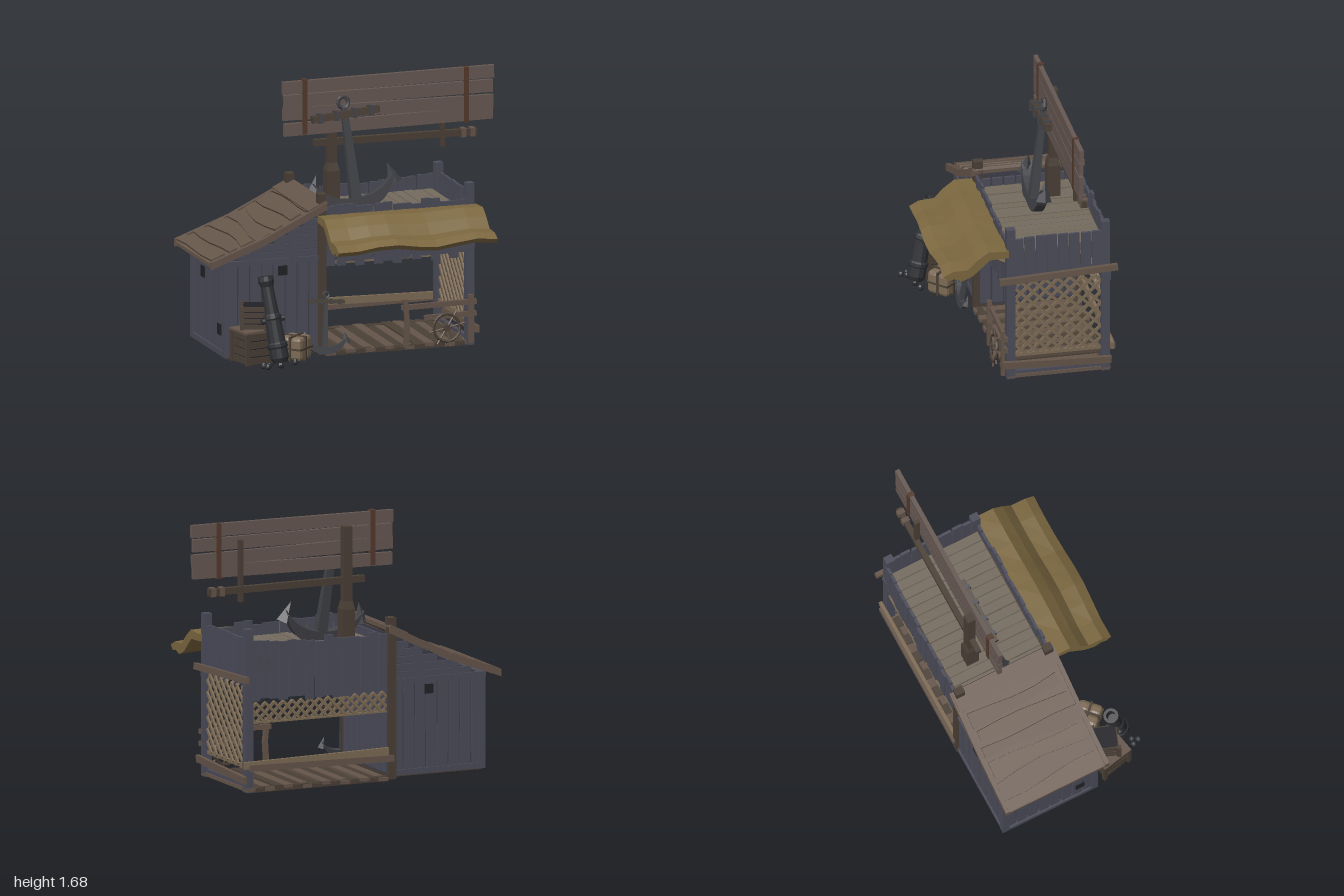
import * as THREE from 'three';
import { RoundedBoxGeometry } from 'three/addons/geometries/RoundedBoxGeometry.js';

const mat = (color) => new THREE.MeshStandardMaterial({ color, flatShading: true, side: THREE.DoubleSide });
const M = {
  slate: mat(0x4b4c59), slateDark: mat(0x3d3e49), brown: mat(0x65554a), dark: mat(0x4a4036),
  roof: mat(0x66564a), deck: mat(0x746b5e), tan: mat(0x7d6b55), cloth: mat(0x7c6840),
  sign: mat(0x665852), strap: mat(0x533a2c), iron: mat(0x424348), cannon: mat(0x2f3034), hole: mat(0x222126),
};
let seed = 7;
const rnd = (a = 1) => { seed = (seed * 16807) % 2147483647; return (seed / 2147483647 - 0.5) * 2 * a; };
const V = (x, y, z) => new THREE.Vector3(x, y, z);

function add(parent, name, geo, m, x = 0, y = 0, z = 0, rx = 0, ry = 0, rz = 0) {
  const mesh = new THREE.Mesh(geo, m);
  mesh.name = name;
  mesh.position.set(x, y, z);
  mesh.rotation.set(rx, ry, rz);
  parent.add(mesh);
  return mesh;
}
function group(parent, name, x = 0, y = 0, z = 0, rx = 0, ry = 0, rz = 0) {
  const g = new THREE.Group();
  g.name = name;
  g.position.set(x, y, z);
  g.rotation.set(rx, ry, rz);
  parent.add(g);
  return g;
}
const box = (p, name, m, w, h, d, ...pose) => add(p, name, new THREE.BoxGeometry(w, h, d), m, ...pose);
// Box given by its limits
const span = (p, name, m, x0, x1, y0, y1, z0, z1) =>
  box(p, name, m, x1 - x0, y1 - y0, z1 - z0, (x0 + x1) / 2, (y0 + y1) / 2, (z0 + z1) / 2);
// Straight timber between two points
function beam(p, name, m, a, b, h, d) {
  const dir = b.clone().sub(a), mid = a.clone().add(b).multiplyScalar(0.5);
  const mesh = box(p, name, m, dir.length(), h, d, mid.x, mid.y, mid.z);
  mesh.quaternion.setFromUnitVectors(V(1, 0, 0), dir.normalize());
  return mesh;
}
function extrude(pts, depth, steps = 1) {
  const shape = new THREE.Shape(pts.map(([x, y]) => new THREE.Vector2(x, y)));
  return new THREE.ExtrudeGeometry(shape, { depth, steps, bevelEnabled: false });
}
// Crossed slats clipped to a rectangle
function lattice(p, u0, u1, v0, v1, step) {
  const H = v1 - v0;
  for (const flip of [0, 1]) for (let s = u0 - H + step / 2; s < u1; s += step) {
    const a = Math.max(u0, s), b = Math.min(u1, s + H);
    if (b - a < 0.015) continue;
    const f = (u) => V(flip ? u0 + u1 - u : u, v0 + u - s, flip * 0.012);
    beam(p, 'latticeSlat', M.tan, f(a), f(b), 0.018, 0.011);
  }
}
const roofY = (x) => x < -0.65 ? 0.65 + (x + 1) * 0.37 : 0.78 + (x + 0.65) * 0.49;

function buildShed(root) {
  const g = group(root, 'shed');
  add(g, 'shedBody', extrude([[-0.88, 0.04], [-0.25, 0.04], [-0.25, 0.94], [-0.65, 0.74], [-0.88, 0.64]], 0.61), M.slateDark, 0, 0, -0.495);
  span(g, 'shedFloor', M.dark, -0.89, -0.25, 0.03, 0.045, -0.5, 0.125);
  for (const [z, s] of [[0.12, 1], [-0.5, -1]]) {
    const n = 8, w = 0.62 / n;
    for (let i = 0; i < n; i++)
      box(g, 'wallPlank', M.slate, w - 0.012, 0.56, 0.018 + rnd(0.005), -0.89 + w * (i + 0.5), 0.34, z + s * 0.002, 0, 0, rnd(0.008));
    for (let y = 0.67, i = 0; y < 0.88; y += 0.048, i++) {
      const x0 = Math.max(-0.9, y < 0.76 ? -1 + (y - 0.6) / 0.37 : -0.65 + (y - 0.73) / 0.49);
      span(g, 'gablePlank', M.slate, x0, -0.25, y - 0.021, y + 0.021, z - 0.01, z + 0.008 + rnd(0.004));
    }
    for (const x of [-0.7, -0.45]) span(g, 'gablePost', M.slate, x - 0.025, x + 0.025, 0.64, roofY(x) - 0.03, z - 0.015, z + 0.02);
    span(g, 'wallBeam', M.slate, -0.91, -0.25, 0.615, 0.65, z - 0.02, z + 0.022);
    span(g, 'wallSill', M.slate, -0.9, -0.25, 0.04, 0.075, z - 0.02, z + 0.018);
    span(g, 'cornerPost', M.slate, -0.905, -0.865, 0.04, 0.64, z - 0.022, z + 0.022);
    box(g, 'smallOpening', M.hole, 0.06, 0.06, 0.03, -0.52, 0.57, z);
    // Tall brown posts where the shed meets the stall
    span(g, 'tallPost', M.dark, -0.29, -0.24, 0.02, 1.04, z - 0.025, z + 0.035);
  }
  for (let i = 0; i < 8; i++) {
    const z = -0.46 + i * 0.0775;
    for (const x of [-0.885, -0.245])
      box(g, 'sidePlank', M.slate, 0.02 + rnd(0.005), x < -0.5 ? 0.58 : 0.86, 0.066, x, x < -0.5 ? 0.34 : 0.49, z, rnd(0.008));
  }
  span(g, 'sideBeam', M.slate, -0.91, -0.87, 0.61, 0.645, -0.51, 0.13);
  span(g, 'sideSill', M.slate, -0.905, -0.87, 0.04, 0.075, -0.51, 0.13);
  for (const [y, z] of [[0.5, -0.3], [0.2, 0.02]]) box(g, 'smallOpening', M.hole, 0.03, 0.07, 0.06, -0.887, y, z);

  // Sagging lean-to roof with uneven boards
  const r = group(root, 'leanToRoof');
  const prof = (t, b) => [[-1, 0.65 + t], [-0.65, 0.78 + t], [-0.24, 0.98 + t], [-0.24, 0.98 + b], [-0.65, 0.78 + b], [-1, 0.65 + b]];
  add(r, 'roofSlab', extrude(prof(0, -0.022), 0.68), M.roof, 0, 0, -0.53);
  for (const z of [0.145, -0.55]) add(r, 'roofEdgeBoard', extrude(prof(0.012, -0.035), 0.028), M.brown, 0, 0, z);
  for (let i = 0; i < 7; i++) {
    const x = -0.95 + i * 0.104, slope = x < -0.65 ? 0.355 : 0.455;
    const geo = new THREE.BoxGeometry(0.09, 0.018, 0.64 + rnd(0.03), 1, 1, 4), p = geo.attributes.position;
    for (let k = 0; k < p.count; k++) p.setX(k, p.getX(k) * (0.9 + 0.3 * Math.sin(p.getZ(k) * 8 + i * 2)) + 0.012 * Math.sin(p.getZ(k) * 5 + i));
    geo.computeVertexNormals();
    add(r, 'roofBoard', geo, i % 2 ? M.brown : M.roof, x, roofY(x) + 0.006, -0.195 + rnd(0.015), 0, 0, slope + 0.03);
  }
  beam(r, 'ridgeBoard', M.brown, V(-0.36, roofY(-0.36) + 0.012, -0.19), V(-0.24, 0.992, -0.19), 0.02, 0.7);
}

function buildStall(root) {
  const g = group(root, 'stall');
  for (let i = 0; i < 15; i++) {
    const x = -0.21 + i * 0.065;
    box(g, 'floorBoard', i % 2 ? M.dark : M.brown, 0.06, 0.022, 0.66 + rnd(0.02), x, 0.026 + rnd(0.007), -0.18, 0, 0, rnd(0.03));
    if (i < 14) box(g, 'deckBoard', M.deck, 0.06, 0.02, 0.6, x, 0.86 + rnd(0.004), -0.18, 0, 0, rnd(0.02));
  }
  for (const z of [0.12, -0.48]) {
    beam(g, 'floorBeam', M.dark, V(-0.24, 0.022, z), V(0.72, 0.022, z), 0.03, 0.04);
    span(g, 'deckBeam', M.dark, -0.24, 0.7, 0.8, 0.845, z - 0.02, z + 0.02);
    span(g, 'stallPost', M.slate, 0.68, 0.73, 0.01, 1.04, z - 0.025, z + 0.03);
    box(g, 'postCap', M.slate, 0.06, 0.05, 0.062, 0.702, 0.66, z);
  }
  // Ragged plank skirts around the upper deck
  for (const z of [0.14, -0.505]) for (let i = 0; i < 15; i++) {
    const y0 = 0.585 + rnd(0.02), y1 = 0.95 + rnd(0.018);
    box(g, 'skirtPlank', M.slate, 0.056, y1 - y0, 0.018, -0.205 + i * 0.062, (y0 + y1) / 2, z + rnd(0.006), 0, 0, rnd(0.015));
  }
  for (let i = 0; i < 8; i++)
    box(g, 'sideSkirtPlank', M.slate, 0.018, 0.27 + rnd(0.015), 0.064, 0.715 + rnd(0.004), 0.84, 0.072 - i * 0.071, rnd(0.03));
  // Right end: beams and lattice
  beam(g, 'sideBeam', M.brown, V(0.745, 0.695, 0.2), V(0.745, 0.73, -0.55), 0.04, 0.03);
  beam(g, 'sideLowRail', M.brown, V(0.74, 0.115, 0.18), V(0.74, 0.09, -0.51), 0.045, 0.025);
  span(g, 'sideSill', M.slate, 0.69, 0.72, 0.02, 0.06, -0.48, 0.12);
  lattice(group(g, 'sideLattice', 0.705, 0, 0, 0, Math.PI / 2), -0.09, 0.45, 0.17, 0.67, 0.078);
  span(g, 'latticeFrame', M.tan, 0.695, 0.715, 0.155, 0.175, -0.46, 0.1);
  // Back: lattice strip and rails
  lattice(group(g, 'backLattice', 0, 0, -0.49), -0.24, 0.68, 0.45, 0.57, 0.062);
  span(g, 'latticeFrame', M.tan, -0.24, 0.68, 0.44, 0.452, -0.495, -0.475);
  beam(g, 'backRail', M.tan, V(-0.24, 0.2, -0.515), V(0.75, 0.185, -0.515), 0.045, 0.022);
  beam(g, 'backLowRail', M.brown, V(-0.27, 0.155, -0.53), V(0.72, 0.17, -0.53), 0.04, 0.02);
  // Front railing
  for (const y of [0.28, 0.205]) beam(g, 'frontRail', M.brown, V(y > 0.25 ? 0.25 : 0.4, y, 0.155), V(0.74, y + 0.008, 0.155), 0.032, 0.022);
  beam(g, 'railPost', M.brown, V(0.275, 0.03, 0.165), V(0.285, 0.19, 0.165), 0.03, 0.03);
  beam(g, 'railPost', M.brown, V(0.285, 0.18, 0.165), V(0.27, 0.335, 0.165), 0.028, 0.03);
  beam(g, 'railPost', M.brown, V(0.7, 0.03, 0.17), V(0.7, 0.335, 0.17), 0.03, 0.025);

  // Ship's wheel leaning on the railing
  const w = group(root, 'steeringWheel', 0.535, 0.14, 0.19, -0.1);
  add(w, 'wheelRim', new THREE.TorusGeometry(0.085, 0.01, 5, 16), M.dark);
  add(w, 'wheelHub', new THREE.CylinderGeometry(0.024, 0.024, 0.03, 8), M.dark, 0, 0, 0, Math.PI / 2);
  for (let i = 0; i < 4; i++) add(w, 'wheelSpokes', new THREE.CylinderGeometry(0.006, 0.006, 0.24, 6), M.brown, 0, 0, 0, 0, 0, i * Math.PI / 4 + 0.2);

  // Billowing cloth awning
  const geo = extrude([[0.14, 0.905], [0.27, 0.91], [0.34, 0.86], [0.4, 0.8], [0.5, 0.795], [0.56, 0.765], [0.53, 0.735],
    [0.49, 0.745], [0.44, 0.725], [0.37, 0.755], [0.26, 0.855], [0.14, 0.86]], 1.04, 8);
  geo.rotateY(-Math.PI / 2).translate(0.745, 0, 0);
  const p = geo.attributes.position;
  for (let k = 0; k < p.count; k++) {
    const x = p.getX(k), out = (p.getZ(k) - 0.14) / 0.42;
    p.setY(k, p.getY(k) + 0.016 * Math.sin(x * 11 + 1) * out);
    p.setZ(k, p.getZ(k) + 0.008 * Math.sin(x * 8) * out);
  }
  geo.computeVertexNormals();
  add(root, 'awning', geo, M.cloth);
  for (const x of [-0.2, 0.65]) beam(root, 'awningBrace', M.tan, V(x, 0.79, 0.14), V(x, 0.86, 0.27), 0.022, 0.022);
}

function buildSign(root) {
  const g = group(root, 'signBoard');
  for (let i = 0; i < 4; i++)
    box(g, 'signPlank', M.sign, 1.375 + rnd(0.012), 0.08, 0.028, 0.305, 1.374 + i * 0.088, -0.268, 0, 0, [0.012, -0.008, 0.004, 0.008][i]);
  for (const x of [-0.245, 0.815]) box(g, 'signStrap', M.strap, 0.032, 0.35, 0.042, x, 1.508, -0.268);
  span(g, 'signPole', M.dark, -0.08, -0.022, 0.8, 1.6, -0.335, -0.283);
  span(g, 'poleFoot', M.dark, -0.092, -0.01, 0.78, 1.08, -0.347, -0.265);
  add(g, 'poleCollar', new THREE.CylinderGeometry(0.041, 0.058, 0.05, 4), M.dark, -0.051, 1.105, -0.307, 0, Math.PI / 4);
  beam(g, 'crossBeam', M.dark, V(-0.17, 1.262, -0.308), V(0.9, 1.258, -0.308), 0.042, 0.035);
  span(g, 'signHanger', M.dark, 0.66, 0.685, 1.18, 1.57, -0.318, -0.284);
  for (const x of [0.81, 0.87]) box(g, 'beamBand', M.brown, 0.03, 0.056, 0.05, x, 1.258, -0.308);
}

// Anchor of unit height with its crown at the origin
function anchor(root, name, scale, ...pose) {
  const g = group(root, name, ...pose);
  g.scale.setScalar(scale);
  const shank = add(g, 'anchorShank', new THREE.CylinderGeometry(0.04, 0.075, 0.92, 4).rotateY(Math.PI / 4), M.iron, 0, 0.46, 0);
  shank.scale.z = 0.8;
  add(g, 'anchorRing', new THREE.TorusGeometry(0.05, 0.02, 5, 10), M.iron, 0, 0.97, 0);
  box(g, 'anchorStock', M.dark, 0.66, 0.065, 0.07, 0, 0.86, 0.02);
  for (const x of [-0.25, -0.09, 0.09, 0.25]) box(g, 'stockBand', M.iron, 0.035, 0.09, 0.095, x, 0.86, 0.02);
  const s = new THREE.Shape();
  s.moveTo(-0.4, 0.27).quadraticCurveTo(-0.33, -0.05, 0, -0.06).quadraticCurveTo(0.33, -0.05, 0.4, 0.27);
  s.quadraticCurveTo(0.25, 0.06, 0, 0.07).quadraticCurveTo(-0.25, 0.06, -0.4, 0.27);
  add(g, 'anchorArms', new THREE.ExtrudeGeometry(s, { depth: 0.09, bevelEnabled: false, curveSegments: 6 }), M.iron, 0, 0, -0.045);
  for (const k of [-1, 1]) add(g, 'anchorFluke', new THREE.ConeGeometry(0.075, 0.2, 4), M.iron, k * 0.375, 0.25, 0, 0, 0, k * 0.25);
}

function buildCargo(root) {
  // Cannon barrel standing on its breech
  const prof = [[0, 0], [0.045, 0.0], [0.06, 0.03], [0.06, 0.09], [0.066, 0.1], [0.066, 0.12], [0.056, 0.13], [0.053, 0.27],
    [0.058, 0.28], [0.055, 0.3], [0.046, 0.31], [0.04, 0.48], [0.052, 0.515], [0.048, 0.545], [0.03, 0.545], [0.028, 0.45], [0, 0.45]];
  const c = group(root, 'cannon', -0.64, 0.06, 0.44, -0.19, 0, 0.12);
  add(c, 'cannonBarrel', new THREE.LatheGeometry(prof.map(([r, y]) => new THREE.Vector2(r, y)), 12), M.cannon);
  add(c, 'cannonKnob', new THREE.SphereGeometry(0.025, 8, 6), M.cannon, 0, -0.015, 0);
  add(c, 'cannonTrunnion', new THREE.CylinderGeometry(0.018, 0.018, 0.15, 8), M.cannon, 0, 0.27, 0, 0, 0, Math.PI / 2);
  for (const [x, y, z] of [[-0.76, 0.055, 0.47], [-0.725, 0.055, 0.475], [-0.745, 0.055, 0.51], [-0.54, 0.055, 0.43]])
    add(root, 'cannonball', new THREE.SphereGeometry(0.021, 8, 6), M.cannon, x, y, z);
  // Slatted crates
  for (const [w, h, y, ry, x, z] of [[0.19, 0.2, 0.04, 0.2, -0.765, 0.28], [0.15, 0.15, 0.255, -0.35, -0.755, 0.275]]) {
    const g = group(root, 'crate', x, y, z, 0, ry);
    box(g, 'crateCore', M.hole, w * 0.92, h * 0.96, w * 0.92, 0, h / 2, 0);
    for (let i = 0; i < 4; i++) box(g, 'crateSlat', M.dark, w, h / 4 - 0.008, w, 0, h * (i + 0.5) / 4, 0, 0, rnd(0.04));
    for (const a of [-1, 1]) for (const b of [-1, 1]) box(g, 'crateCorner', M.dark, 0.025, h, 0.025, a * w / 2, h / 2, b * w / 2);
  }
  box(root, 'crateLid', M.brown, 0.22, 0.014, 0.21, -0.765, 0.248, 0.28, 0, 0.2, 0.03);
  // Bound bale
  const b = group(root, 'bale', -0.49, 0.115, 0.29, 0, 0.75);
  for (const x of [-0.038, 0.038]) for (const z of [-0.038, 0.038])
    add(b, 'balePad', new RoundedBoxGeometry(0.078, 0.15, 0.078, 1, 0.022), M.tan, x, 0, z);
  box(b, 'baleCord', M.dark, 0.014, 0.154, 0.154);
  box(b, 'baleCord', M.dark, 0.154, 0.154, 0.014);
  box(b, 'baleCord', M.dark, 0.158, 0.012, 0.158);
}

export function createModel() {
  const root = new THREE.Group();
  root.name = 'harbourStall';
  buildShed(root);
  buildStall(root);
  buildSign(root);
  anchor(root, 'largeAnchor', 0.67, 0.06, 0.88, -0.155, -0.13, 0, 0.09);
  anchor(root, 'smallAnchor', 0.36, -0.28, 0.06, 0.23, -0.17, 0, -0.09);
  buildCargo(root);
  return root;
}
